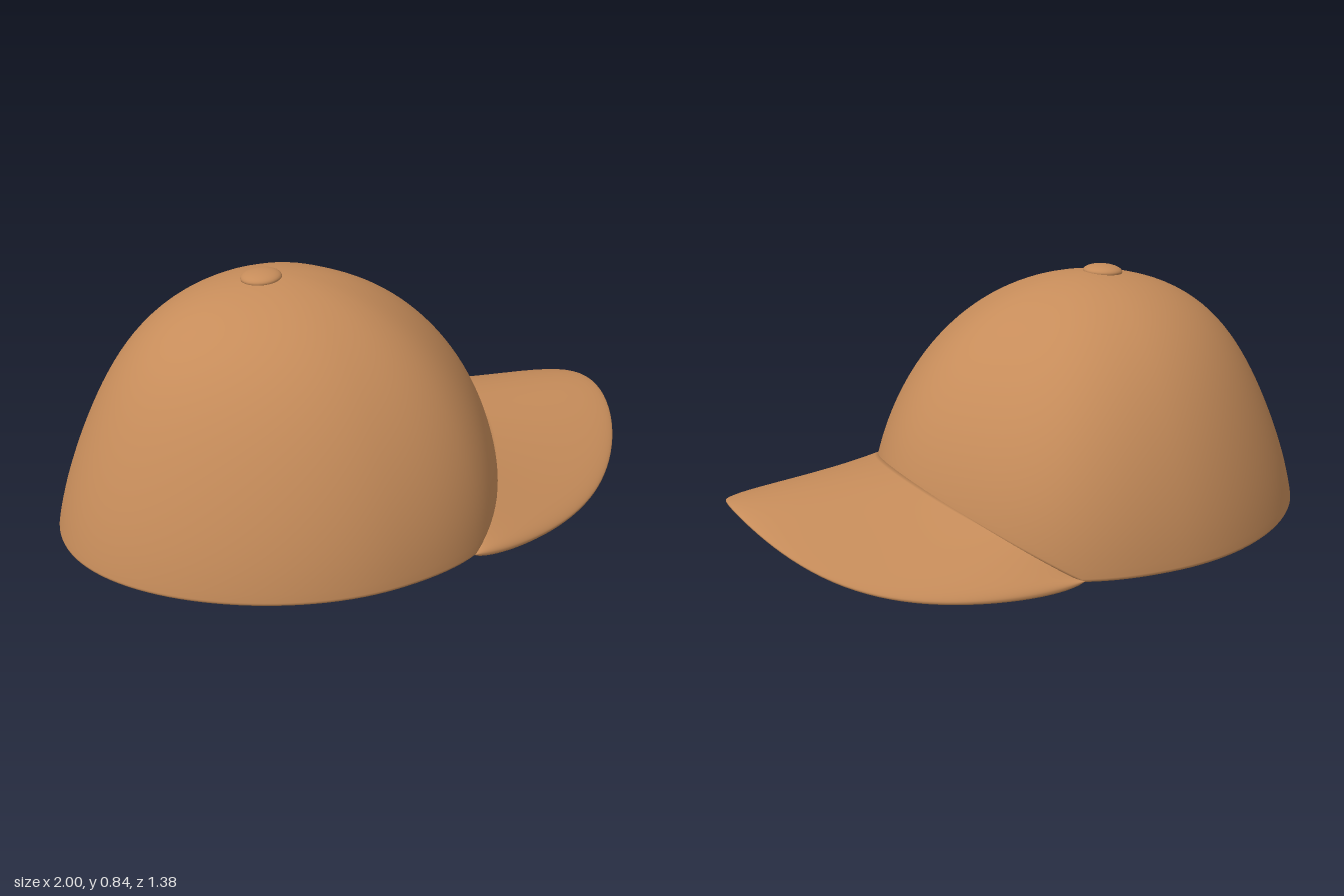
import * as THREE from 'three';

// Skin a list of closed rings (equal point counts) into a smooth surface
function loft(rings) {
  const n = rings[0].length;
  const index = [];
  for (let k = 0; k < rings.length - 1; k++) {
    for (let j = 0; j < n; j++) {
      const a = k * n + j, d = k * n + (j + 1) % n;
      index.push(a, d, d + n, a, d + n, a + n);
    }
  }
  const geometry = new THREE.BufferGeometry().setFromPoints(rings.flat());
  geometry.setIndex(index);
  geometry.computeVertexNormals();
  return geometry;
}

// Dome surface: theta runs around from the front (+x), t from apex (0) to base (1)
function domePoint(theta, t) {
  const phi = t * Math.PI / 2;
  const c = Math.cos(theta), s = Math.sin(theta);
  // Flared lower wall and fuller top, strongest at the back
  const flare = Math.max(0.1, 0.4 - 0.6 * c) *
    (0.01 * Math.sin(2 * phi) - 0.04 * Math.sin(4 * phi));
  // Slightly pointed front and back
  const pinch = c < 0 ? 0.018 : 0.05 * (Math.cos(2 * theta) + 0.3);
  const r = (Math.pow(Math.sin(phi), 1.06) - flare) * (1 - pinch * Math.sin(2 * theta) ** 2);
  return new THREE.Vector3(
    -0.25 + (c > 0 ? 0.757 : 0.75) * r * c + 0.05 * s * s * r,
    0.03 + 0.8 * Math.cos(phi),
    0.69 * r * s
  );
}

// Lower edge: level around the back, sloping up over the brim
const edgeHeight = (x) => Math.max(0.03, 0.03 + (x - 0.12) * 0.61);

function edgeT(theta) {
  let lo = 0, hi = 1;
  for (let i = 0; i < 30; i++) {
    const mid = (lo + hi) / 2;
    const p = domePoint(theta, mid);
    if (p.y > edgeHeight(p.x)) lo = mid; else hi = mid;
  }
  return lo;
}

// Hollow shell: down the outside, around a rounded rim and back up the inside
function crownGeometry() {
  const columns = 128, rows = 32, wall = 0.03;
  const centre = new THREE.Vector3(-0.24, 0.03, 0);
  const steps = [];
  for (let k = 0; k < rows; k++) steps.push(Math.max(k / rows, 0.001));
  const thetas = Array.from({ length: columns }, (_, j) => j / columns * Math.PI * 2);
  const edges = thetas.map(edgeT);
  const ring = (f, scale) => thetas.map((theta, j) =>
    domePoint(theta, f * edges[j]).sub(centre).multiplyScalar(scale).add(centre));
  const rim = [];
  for (let k = 0; k <= 8; k++) {
    const a = k / 8 * Math.PI;
    rim.push(ring(0.99 + 0.01 * Math.sin(a), 1 - wall * (1 - Math.cos(a)) / 2));
  }
  return loft([
    ...steps.map((f) => ring(f, 1)),
    ...rim,
    ...steps.slice().reverse().map((f) => ring(f, 1 - wall)),
  ]);
}

// Curved brim: cross-sections from the crown's edge to the outer outline
function brimGeometry() {
  const sections = 96, across = 24, spread = 1.12;
  const rings = [];
  for (let i = 0; i <= sections; i++) {
    const s = Math.sin((1 - 2 * i / sections) * Math.PI / 2);
    const theta = s * spread;
    const inner = domePoint(theta, edgeT(theta));
    inner.x -= 0.024 * Math.cos(theta);
    inner.z *= 0.972;
    const alpha = s * Math.PI / 2;
    const z = 0.633 * Math.sin(alpha);
    const outer = new THREE.Vector3(
      0.11 + 0.89 * Math.cos(alpha),
      0.21 - 0.097 * (1 - Math.cos(Math.PI * z / 0.635)) + 0.02 * s ** 14,
      z
    );
    const thick = 0.02 * Math.sqrt(Math.max(0, 1 - s ** 10));
    const ring = [];
    for (let j = 0; j < 2 * across; j++) {
      const top = j <= across;
      const u = Math.sin((top ? j : 2 * across - j) / across * Math.PI / 2);
      const p = inner.clone().lerp(outer, u);
      p.y += (top ? 0.8 : -1.4) * thick * Math.sqrt(Math.max(0, 1 - u ** 8));
      ring.push(p);
    }
    rings.push(ring);
  }
  return loft(rings);
}

export function createModel() {
  const group = new THREE.Group();
  group.name = 'cap';
  const tan = new THREE.MeshStandardMaterial({ color: 0xc68c5a, side: THREE.DoubleSide });
  tan.name = 'tan cloth';

  const add = (name, geometry) => {
    const mesh = new THREE.Mesh(geometry, tan);
    mesh.name = name;
    group.add(mesh);
    return mesh;
  };

  add('crown', crownGeometry());
  add('brim', brimGeometry());

  // Button on top
  const button = add('topButton', new THREE.SphereGeometry(1, 32, 16));
  button.scale.set(0.066, 0.023, 0.066);
  button.position.set(-0.308, 0.827, 0);
  button.rotation.z = 0.06;

  return group;
}
